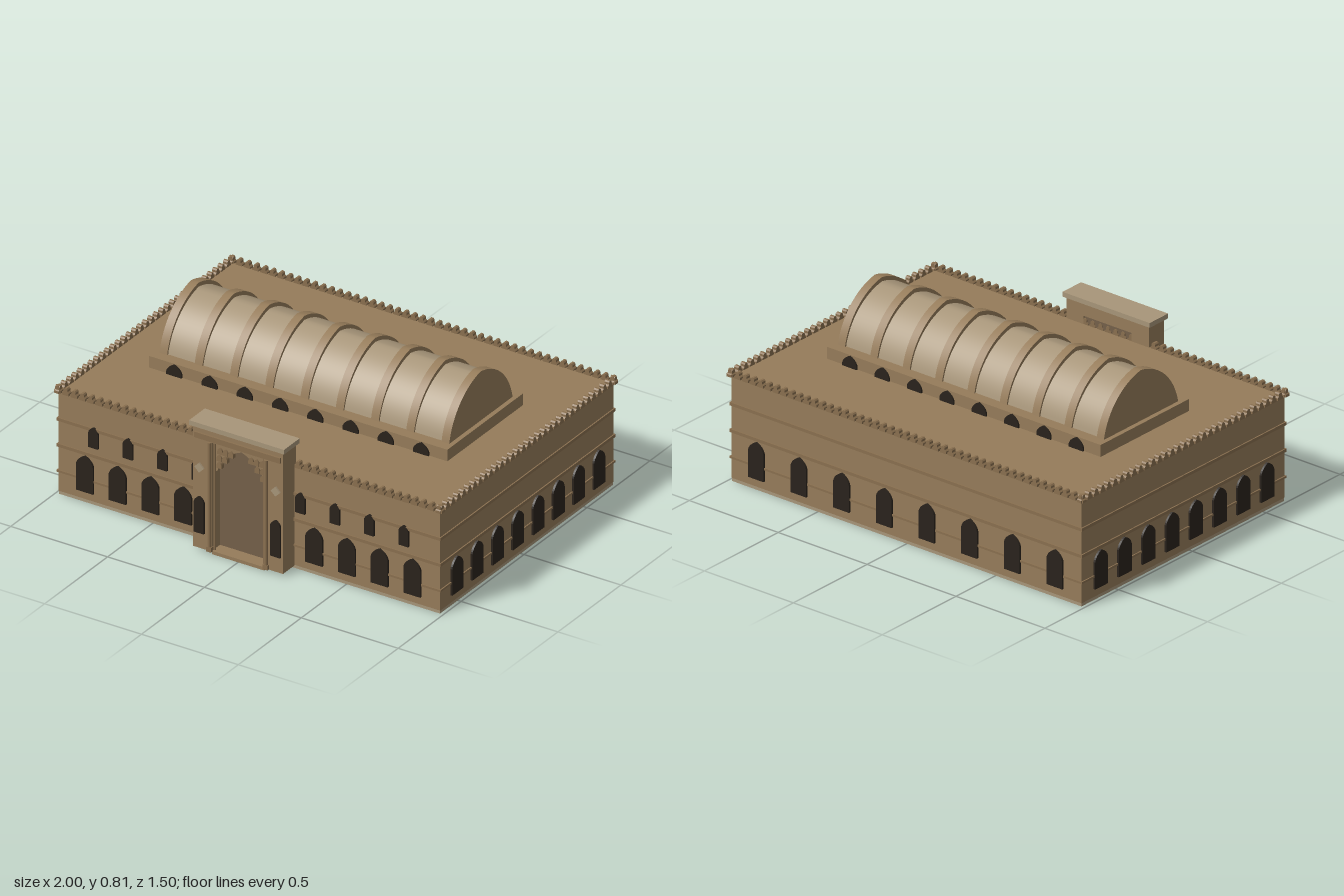
import * as THREE from 'three';
import { toCreasedNormals } from 'three/addons/utils/BufferGeometryUtils.js';

const mat = (color) => new THREE.MeshStandardMaterial({ color });
const wall = mat(0x967c5a), trim = mat(0x8a7050), pale = mat(0xa8967a), dark = mat(0x2a231c), door = mat(0x75614a);
const X = 0.985, Z0 = -0.733, Z1 = 0.643, ZC = (Z0 + Z1) / 2;

export function createModel() {
  const root = new THREE.Group();
  root.name = 'vaultedHall';

  const add = (name, geo, material, x = 0, y = 0, z = 0, rotY = 0, parent = root) => {
    const m = new THREE.Mesh(geo, material);
    m.name = name;
    m.position.set(x, y, z);
    m.rotation.y = rotY;
    parent.add(m);
    return m;
  };
  // Box given by its limits
  const box = (name, material, x0, x1, y0, y1, z0, z1, parent = root) =>
    add(name, new THREE.BoxGeometry(x1 - x0, y1 - y0, z1 - z0), material,
      (x0 + x1) / 2, (y0 + y1) / 2, (z0 + z1) / 2, 0, parent);
  // Extrusion centred on its depth
  const slab = (shape, depth, curveSegments = 6) =>
    new THREE.ExtrudeGeometry(shape, { depth, bevelEnabled: false, curveSegments }).translate(0, 0, -depth / 2);
  // Pointed arch standing on y = 0
  const arch = (w, h, spring) => {
    const s = new THREE.Shape();
    s.moveTo(-w / 2, 0);
    s.lineTo(w / 2, 0);
    s.lineTo(w / 2, spring);
    s.quadraticCurveTo(w * 0.42, spring + (h - spring) * 0.65, 0, h);
    s.quadraticCurveTo(-w * 0.42, spring + (h - spring) * 0.65, -w / 2, spring);
    return s;
  };

  // Main block with its base course and string courses
  box('baseCourse', pale, -X + 0.002, X - 0.002, 0, 0.016, Z0 + 0.002, Z1 - 0.002);
  box('mainBlock', wall, -X, X, 0.016, 0.51, Z0, Z1);
  for (const [y0, y1] of [[0.111, 0.121], [0.236, 0.251], [0.364, 0.379]])
    box('stringCourse', trim, -X - 0.006, X + 0.006, y0, y1, Z0 - 0.006, Z1 + 0.006);

  // Windows
  const large = slab(arch(0.088, 0.177, 0.13), 0.02);
  const small = slab(arch(0.05, 0.1, 0.072), 0.02);
  for (const s of [-1, 1]) {
    for (let i = 0; i < 4; i++) {
      add('frontWindow', large, dark, s * (0.338 + i * 0.169), 0.055, Z1);
      add('upperWindow', small, dark, s * (0.267 + i * 0.178), 0.285, Z1);
    }
    for (let i = 0; i < 8; i++)
      add('sideWindow', large, dark, s * X, 0.055, 0.518 - i * 0.161, Math.PI / 2);
  }
  for (let i = 0; i < 8; i++) add('backWindow', large, dark, -0.84 + i * 0.24, 0.055, Z0);

  // Crenellated parapet
  const merlonShape = new THREE.Shape([
    [-0.017, 0], [0.017, 0], [0.017, 0.012], [0.01, 0.018], [0.01, 0.028], [0.005, 0.034],
    [-0.005, 0.034], [-0.01, 0.028], [-0.01, 0.018], [-0.017, 0.012],
  ].map((p) => new THREE.Vector2(...p)));
  const merlon = slab(merlonShape, 0.024);
  const spots = [];
  const nx = 46, nz = 32;
  for (let i = 0; i <= nx; i++)
    for (const z of [Z0, Z1]) spots.push([-X + (2 * X * i) / nx, z, 0]);
  for (let i = 0; i <= nz; i++)
    for (const x of [-X, X]) spots.push([x, Z0 + ((Z1 - Z0) * i) / nz, Math.PI / 2]);
  const parapet = new THREE.Group();
  parapet.name = 'parapet';
  root.add(parapet);
  for (const [x, z, r] of spots) add('merlon', merlon, trim, x, 0.505, z, r, parapet);

  // Vault on its plinth
  box('vaultPlinth', wall, -0.77, 0.77, 0.5, 0.567, ZC - 0.3, ZC + 0.3);
  const profile = (halfW, h) => {
    const pts = [], a0 = Math.atan2(0.06, 0.302), a1 = Math.acos(0.05 / 0.3079);
    for (let i = 0; i <= 16; i++) {
      const a = a0 + ((a1 - a0) * i) / 16;
      pts.push([(0.3079 * Math.cos(a) - 0.05) / 0.252 * halfW, (0.3079 * Math.sin(a) - 0.06) / 0.244 * h]);
    }
    const left = pts.slice(0, -1).reverse().map(([x, y]) => [-x, y]);
    return new THREE.Shape([...pts, ...left].map((p) => new THREE.Vector2(...p)));
  };
  const vaultGeo = (halfW, h, len) =>
    toCreasedNormals(slab(profile(halfW, h), len).rotateY(-Math.PI / 2), 0.5);
  add('barrelVault', vaultGeo(0.244, 0.224, 1.46), pale, 0, 0.566, ZC);
  const rib = vaultGeo(0.252, 0.244, 0.04);
  for (let i = -4; i <= 4; i++) add('vaultRib', rib, wall, i * 0.182, 0.566, ZC);
  const lunette = slab(arch(0.08, 0.055, 0.015), 0.016);
  for (let i = 0; i < 8; i++)
    for (const s of [-1, 1])
      add('plinthWindow', lunette, dark, -0.637 + i * 0.182, 0.51, ZC + s * 0.3);

  // Entrance portal
  const portal = new THREE.Group();
  portal.name = 'portal';
  root.add(portal);
  const PZ = 0.733;
  for (const s of [-1, 1]) {
    box('portalPier', wall, Math.min(s * 0.135, s * 0.232), Math.max(s * 0.135, s * 0.232), 0.012, 0.55, 0.63, PZ, portal);
    add('portalWindow', slab(arch(0.052, 0.18, 0.15), 0.02), dark, s * 0.197, 0.09, PZ, 0, portal);
    add('portalColumn', new THREE.CylinderGeometry(0.009, 0.009, 0.53, 12), trim, s * 0.146, 0.285, PZ + 0.002, 0, portal);
    add('portalColumn', new THREE.CylinderGeometry(0.006, 0.006, 0.53, 12), trim, s * 0.128, 0.285, PZ - 0.012, 0, portal);
    box('columnBase', trim, s * 0.146 - 0.013, s * 0.146 + 0.013, 0.012, 0.035, PZ - 0.01, PZ + 0.011, portal);
    const diamond = add('diamondOrnament', new THREE.BoxGeometry(0.034, 0.034, 0.016), pale, s * 0.197, 0.412, PZ, 0, portal);
    diamond.rotation.z = Math.PI / 4;
  }
  box('portalHead', wall, -0.232, 0.232, 0.55, 0.612, 0.63, PZ, portal);
  box('portalLintel', trim, -0.222, 0.222, 0.558, 0.585, PZ - 0.01, PZ + 0.01, portal);
  box('portalCap', pale, -0.245, 0.245, 0.612, 0.635, 0.62, 0.745, portal);
  box('doorPanel', door, -0.135, 0.135, 0.012, 0.55, 0.635, 0.668, portal);
  box('doorStep', wall, -0.135, 0.135, 0, 0.016, 0.64, PZ, portal);

  // Arched spandrel with tiers of small niches
  const spandrel = new THREE.Shape();
  spandrel.moveTo(-0.135, 0.4);
  spandrel.lineTo(-0.125, 0.4);
  spandrel.quadraticCurveTo(-0.105, 0.49, 0, 0.53);
  spandrel.quadraticCurveTo(0.105, 0.49, 0.125, 0.4);
  spandrel.lineTo(0.135, 0.4);
  spandrel.lineTo(0.135, 0.55);
  spandrel.lineTo(-0.135, 0.55);
  add('doorArch', slab(spandrel, 0.03, 10), wall, 0, 0, 0.69, 0, portal);
  const niche = slab(arch(0.026, 0.032, 0.015), 0.02);
  const tiers = [[0.42, [0.112]], [0.455, [0.112, 0.084]], [0.49, [0.108, 0.08, 0.052]]];
  for (const [y, xs] of tiers)
    for (const x of xs)
      for (const s of [-1, 1]) add('archNiche', niche, trim, s * x, y, 0.702, 0, portal);

  return root;
}
